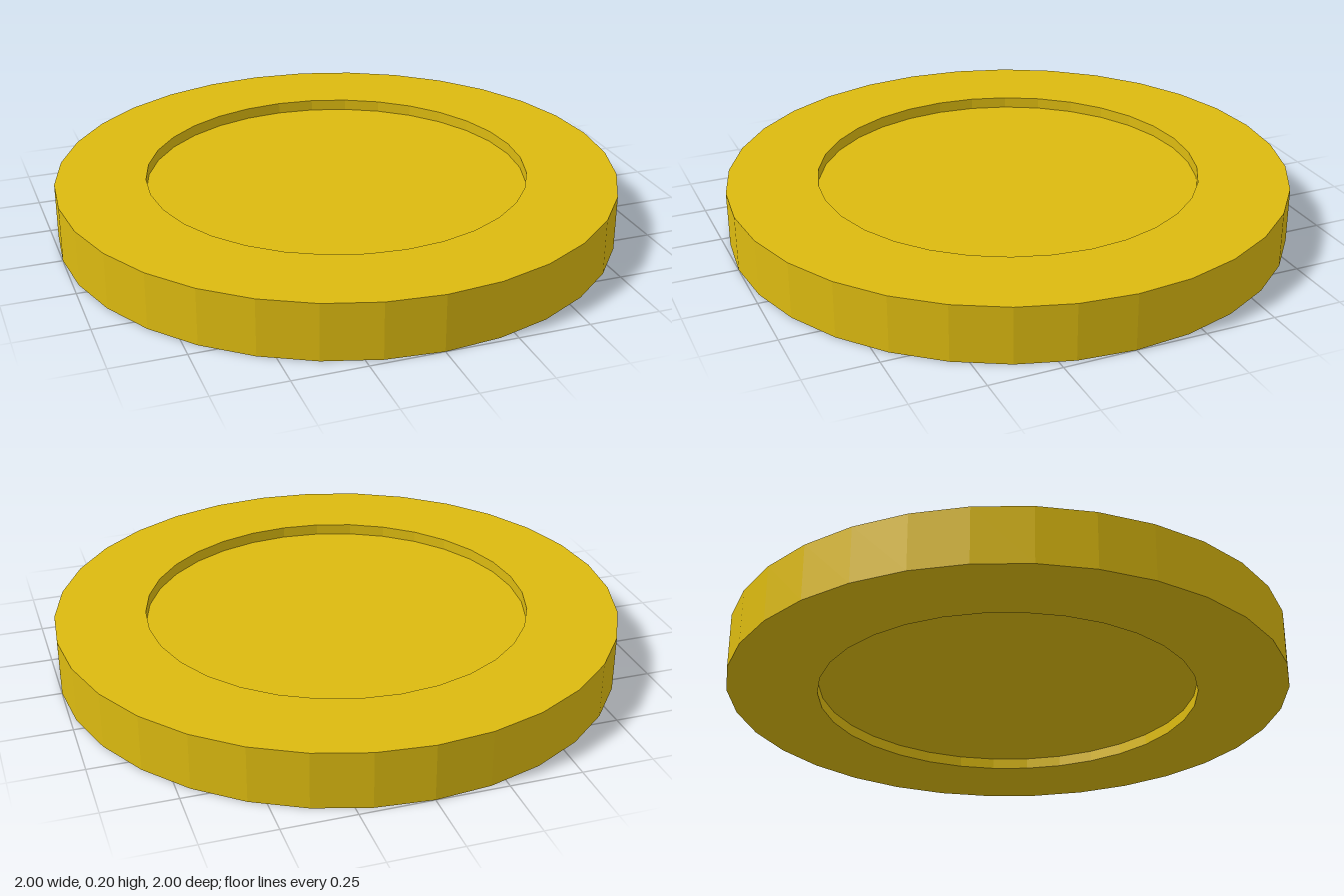
import * as THREE from 'three';

export function createModel() {
  const sides = 32, radius = 1, innerRadius = 0.68, height = 0.2, recess = 0.04;
  const gold = new THREE.MeshStandardMaterial({ color: 0xdcba10, flatShading: true });

  // Coin section from the bottom centre round the raised rim to the top centre
  const profile = [
    [0, recess],
    [innerRadius, recess],
    [innerRadius, 0],
    [radius, 0],
    [radius, height],
    [innerRadius, height],
    [innerRadius, height - recess],
    [0, height - recess],
  ].map(([x, y]) => new THREE.Vector2(x, y));

  const coin = new THREE.Mesh(new THREE.LatheGeometry(profile, sides), gold);
  coin.name = 'coin';

  const group = new THREE.Group();
  group.name = 'coinModel';
  group.add(coin);
  return group;
}
